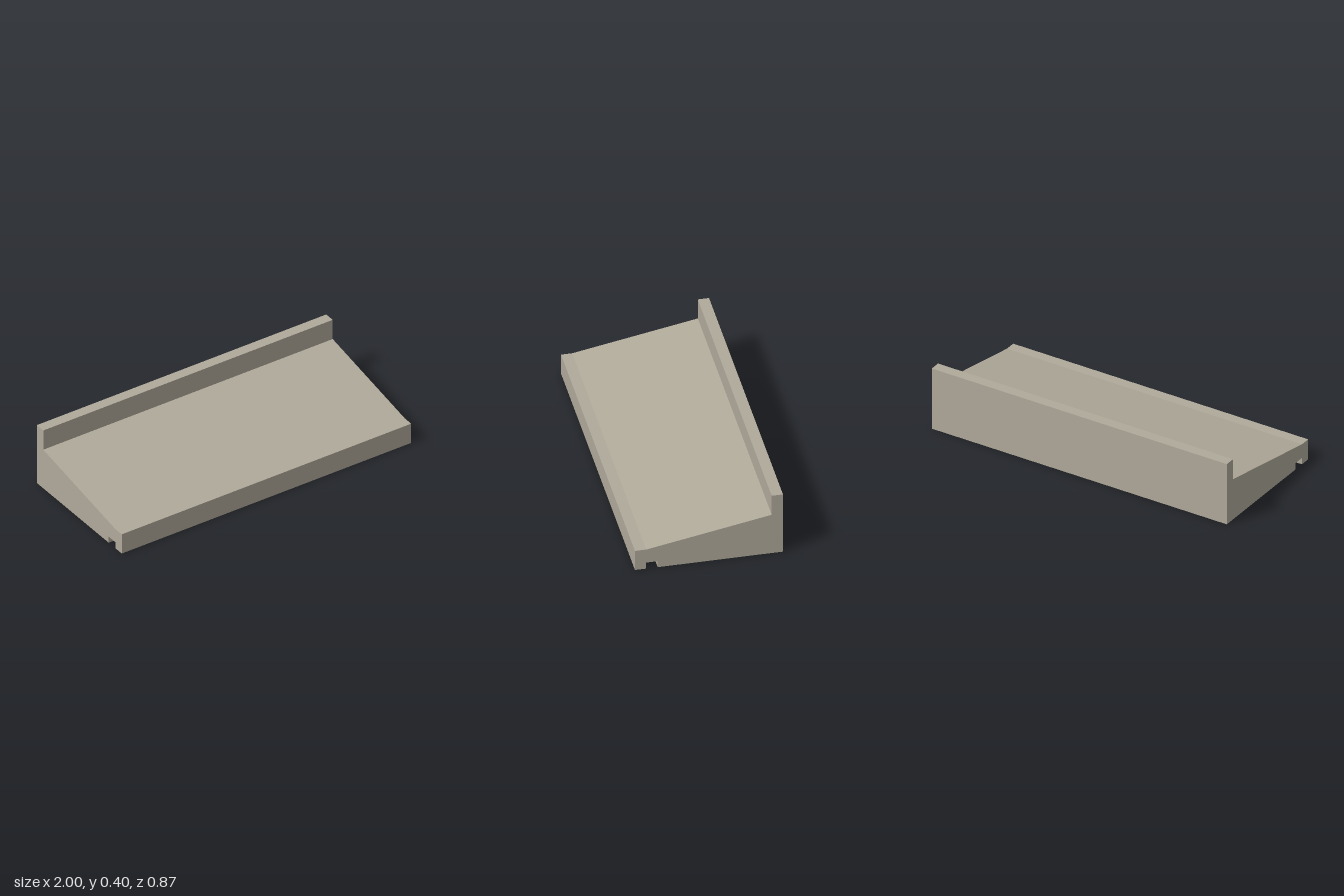
import * as THREE from 'three';

export function createModel() {
  const group = new THREE.Group();
  group.name = 'windowSill';

  const stone = new THREE.MeshStandardMaterial({ color: 0xb0aa9a });
  stone.name = 'stone';

  const length = 2;

  // Side profile as [z, y]: front nose, drip groove, base, rear upstand, sloped top
  const profile = [
    [0.433, 0], [0.367, 0], [0.367, 0.042], [0.3, 0.042], [0.3, 0],
    [-0.433, 0], [-0.433, 0.4], [-0.367, 0.4], [-0.367, 0.267],
    [0.367, 0.133], [0.433, 0.133],
  ];
  const shape = new THREE.Shape(profile.map(([z, y]) => new THREE.Vector2(-z, y)));

  // Extrude the profile along x
  const geometry = new THREE.ExtrudeGeometry(shape, { depth: length, bevelEnabled: false });
  geometry.translate(0, 0, -length / 2);
  geometry.rotateY(Math.PI / 2);

  const sill = new THREE.Mesh(geometry, stone);
  sill.name = 'sill';
  group.add(sill);
  return group;
}
